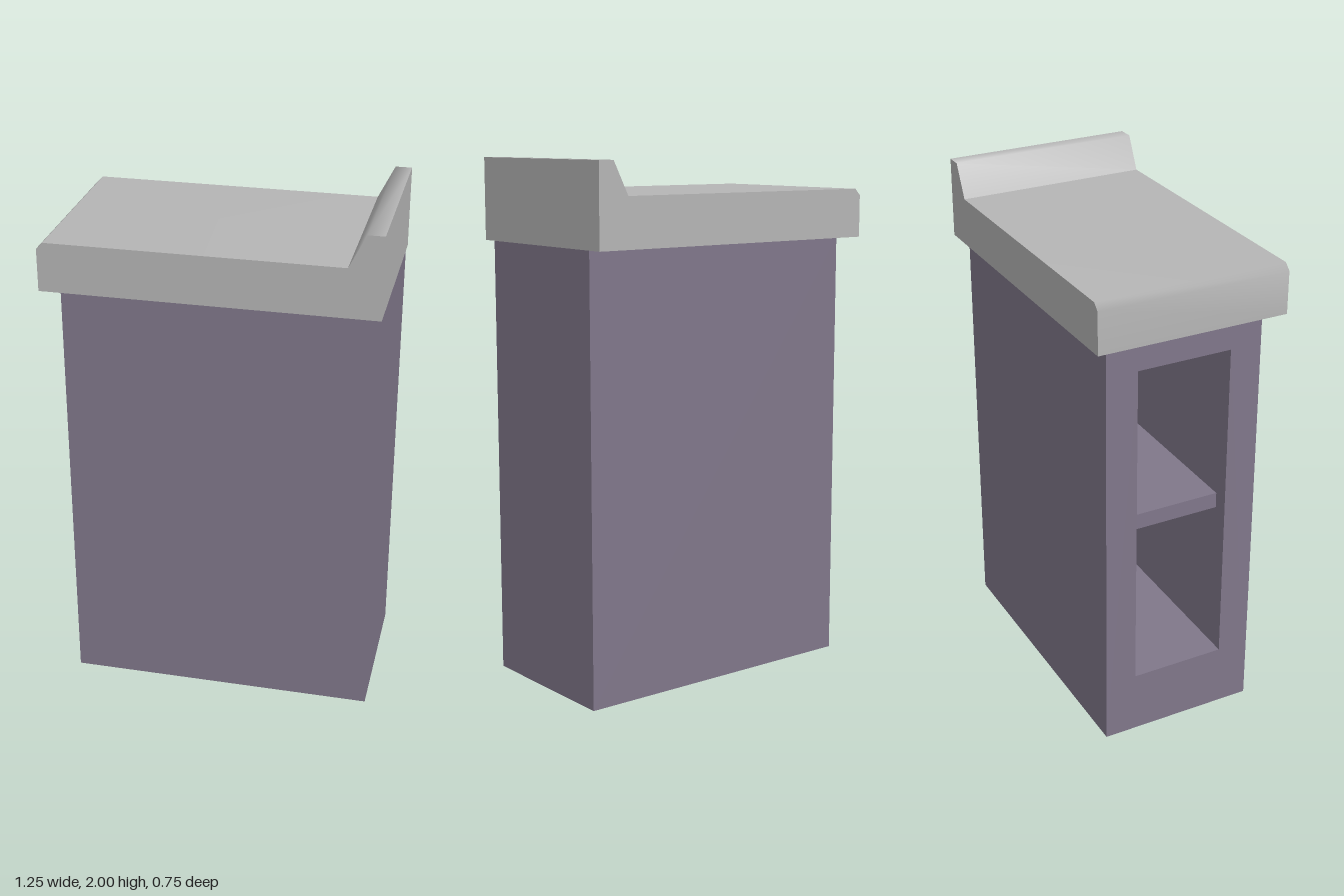
import * as THREE from 'three';
import { mergeGeometries } from 'three/addons/utils/BufferGeometryUtils.js';

const LID_HALF = 0.375;

// Smooth-shaded strip along z that follows an outline of [x, y] points (clockwise seen from +z)
function strip(points) {
  const g = new THREE.PlaneGeometry(1, 1, points.length - 1, 1);
  const p = g.attributes.position;
  const n = points.length;
  points.forEach(([x, y], i) => {
    p.setXYZ(i, x, y, -LID_HALF);
    p.setXYZ(i + n, x, y, LID_HALF);
  });
  g.computeVertexNormals();
  return g;
}

// Box without its -x face; inward turns the faces to the inside
function openBox(x0, x1, y0, y1, halfZ, inward) {
  const g = new THREE.BoxGeometry(x1 - x0, y1 - y0, 2 * halfZ);
  g.translate((x0 + x1) / 2, (y0 + y1) / 2, 0);
  const index = Array.from(g.index.array).filter((_, i) => i < 6 || i >= 12);
  if (inward) index.reverse();
  g.setIndex(index);
  g.computeVertexNormals();
  return g;
}

function rectangle(Type, halfW, y0, y1) {
  return new Type().setFromPoints([
    new THREE.Vector2(-halfW, y0), new THREE.Vector2(halfW, y0),
    new THREE.Vector2(halfW, y1), new THREE.Vector2(-halfW, y1),
  ]);
}

export function createModel() {
  const group = new THREE.Group();
  const stone = new THREE.MeshStandardMaterial({ color: 0xb5b5b5 });
  stone.name = 'pale grey top';
  const paint = new THREE.MeshStandardMaterial({ color: 0x80778a });
  paint.name = 'purple grey cabinet';

  const add = (name, geometry, material) => {
    const mesh = new THREE.Mesh(geometry, material);
    mesh.name = name;
    group.add(mesh);
  };

  // Cabinet: outer shell, front frame on the -x side and the hollow inside
  const X0 = -0.5625, X1 = 0.625, H = 1.6875, HALF_Z = 0.3125;
  const HOLE_Z = 0.1875, HOLE_Y0 = 0.25, HOLE_Y1 = 1.5625, HOLE_BACK = 0.5;
  const frameShape = rectangle(THREE.Shape, HALF_Z, 0, H);
  frameShape.holes.push(rectangle(THREE.Path, HOLE_Z, HOLE_Y0, HOLE_Y1));
  const frame = new THREE.ShapeGeometry(frameShape);
  frame.rotateY(-Math.PI / 2).translate(X0, 0, 0);
  add('cabinet', mergeGeometries([
    openBox(X0, X1, 0, H, HALF_Z, false),
    frame,
    openBox(X0, HOLE_BACK, HOLE_Y0, HOLE_Y1, HOLE_Z, true),
  ]), paint);

  // Shelf set slightly back from the opening
  const shelf = new THREE.BoxGeometry(1, 0.0625, 2 * HOLE_Z);
  shelf.translate(0, 0.906, 0);
  add('shelf', shelf, paint);

  // Countertop: softened -x edge, flat top, sloping raised lip at +x
  const surface = [[-0.625, H], [-0.625, 1.85], [-0.6, 1.875], [0.5, 1.875]];
  const lip = [[0.5, 1.875], [0.5625, 2], [0.625, 2]];
  const side = [[0.625, 2], [0.625, H]];
  const underside = [[0.625, H], [-0.625, H]];

  const outline = new THREE.Shape(
    [...surface, ...lip.slice(1), [0.625, H]].map(([x, y]) => new THREE.Vector2(x, y)));
  const endFront = new THREE.ShapeGeometry(outline).translate(0, 0, LID_HALF);
  const endBack = new THREE.ShapeGeometry(outline).translate(0, 0, -LID_HALF);
  endBack.setIndex(Array.from(endBack.index.array).reverse());
  endBack.computeVertexNormals();
  add('countertop', mergeGeometries([
    ...[surface, lip, side, underside].map(strip), endFront, endBack,
  ]), stone);

  return group;
}
